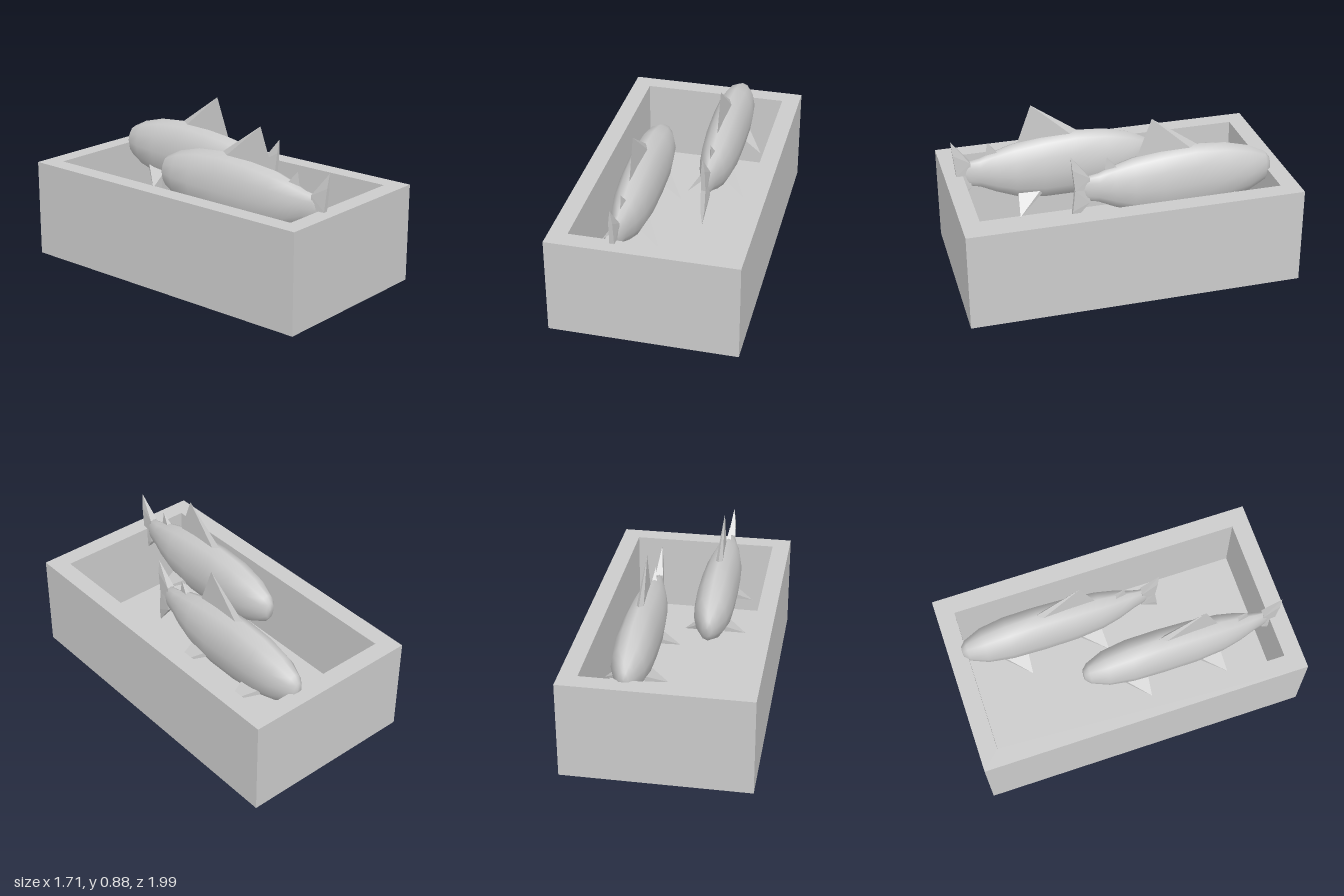
import * as THREE from 'three';
import { ConvexGeometry } from 'three/addons/geometries/ConvexGeometry.js';

const smooth = new THREE.MeshStandardMaterial({ color: 0xcccccc });
const flat = new THREE.MeshStandardMaterial({ color: 0xcccccc, flatShading: true });

function add(parent, name, geometry, material = flat) {
  const mesh = new THREE.Mesh(geometry, material);
  mesh.name = name;
  parent.add(mesh);
  return mesh;
}

// Small solid fin wrapped around a few points
function fin(parent, name, points) {
  return add(parent, name, new ConvexGeometry(points.map(p => new THREE.Vector3(...p))));
}

// Elliptical loft along z; each ring is [z, half width, top, bottom]
function loft(rings, sides) {
  const pos = [], idx = [];
  rings.forEach(([z, w, top, bottom]) => {
    for (let j = 0; j < sides; j++) {
      const a = (j / sides) * Math.PI * 2;
      pos.push(w * Math.cos(a), (top + bottom) / 2 + ((top - bottom) / 2) * Math.sin(a), z);
    }
  });
  for (let i = 0; i < rings.length - 1; i++) {
    for (let j = 0; j < sides; j++) {
      const k = (j + 1) % sides;
      const a = i * sides + j, b = i * sides + k, c = a + sides, d = b + sides;
      idx.push(a, b, c, b, d, c);
    }
  }
  const g = new THREE.BufferGeometry();
  g.setAttribute('position', new THREE.Float32BufferAttribute(pos, 3));
  g.setIndex(idx);
  g.computeVertexNormals();
  return g;
}

function createFish() {
  const fish = new THREE.Group();
  fish.name = 'fish';

  // Body, from blunt snout to narrow tail stem
  add(fish, 'body', loft([
    [-0.80, 0, 0.53, 0.53],
    [-0.797, 0.025, 0.575, 0.48],
    [-0.77, 0.05, 0.61, 0.445],
    [-0.68, 0.085, 0.655, 0.40],
    [-0.55, 0.10, 0.69, 0.36],
    [-0.38, 0.10, 0.705, 0.335],
    [-0.20, 0.097, 0.69, 0.335],
    [-0.05, 0.085, 0.665, 0.36],
    [0.05, 0.065, 0.635, 0.40],
    [0.13, 0.04, 0.605, 0.44],
    [0.19, 0.025, 0.595, 0.455],
    [0.24, 0, 0.525, 0.525],
  ], 12), smooth);

  // Back fins
  fin(fish, 'dorsalFin', [
    [-0.02, 0.67, -0.38], [0.02, 0.67, -0.38], [0, 0.705, -0.39],
    [0, 0.66, -0.07], [0, 0.875, -0.15],
  ]);
  fin(fish, 'rearDorsalFin', [
    [-0.018, 0.61, 0.02], [0.018, 0.61, 0.02], [0, 0.60, 0.10], [0, 0.69, 0.085],
  ]);

  for (const side of [-1, 1]) {
    // Paired side fins
    fin(fish, 'pectoralFin', [
      [side * 0.065, 0.44, -0.60], [side * 0.065, 0.41, -0.60],
      [side * 0.07, 0.42, -0.47], [side * 0.163, 0.34, -0.477],
    ]);
    fin(fish, 'pelvicFin', [
      [side * 0.06, 0.42, -0.19], [side * 0.06, 0.39, -0.19],
      [side * 0.055, 0.40, -0.06], [side * 0.152, 0.31, -0.048],
    ]);
    // Upper and lower tail lobes
    const y = d => 0.523 + side * d;
    fin(fish, 'tailLobe', [
      [-0.02, y(0.07), 0.18], [0.02, y(0.07), 0.18],
      [-0.018, y(0), 0.18], [0.018, y(0), 0.18],
      [-0.012, y(0), 0.255], [0.012, y(0), 0.255],
      [-0.01, y(0.12), 0.268], [0.01, y(0.12), 0.268],
      [0, y(0.195), 0.275],
    ]);
  }
  return fish;
}

function rectangle(path, w, l) {
  return path.moveTo(-w / 2, -l / 2).lineTo(w / 2, -l / 2)
    .lineTo(w / 2, l / 2).lineTo(-w / 2, l / 2).closePath();
}

export function createModel() {
  const model = new THREE.Group();
  model.name = 'fishTank';
  const width = 0.966, length = 1.745, height = 0.52, wall = 0.095;

  // Open-topped tank: floor slab and wall frame
  add(model, 'tankFloor', new THREE.BoxGeometry(width, wall, length)).position.y = wall / 2;
  const frame = rectangle(new THREE.Shape(), width, length);
  frame.holes.push(rectangle(new THREE.Path(), width - 2 * wall, length - 2 * wall));
  const walls = new THREE.ExtrudeGeometry(frame, { depth: height - wall, bevelEnabled: false });
  walls.rotateX(-Math.PI / 2);
  add(model, 'tankWalls', walls).position.y = wall;

  // Two fish, side by side and staggered
  for (const [x, z] of [[0.162, 0], [-0.158, 0.556]]) {
    const fish = createFish();
    fish.position.set(x, 0, z);
    model.add(fish);
  }

  model.rotation.y = Math.PI / 6;
  return model;
}
